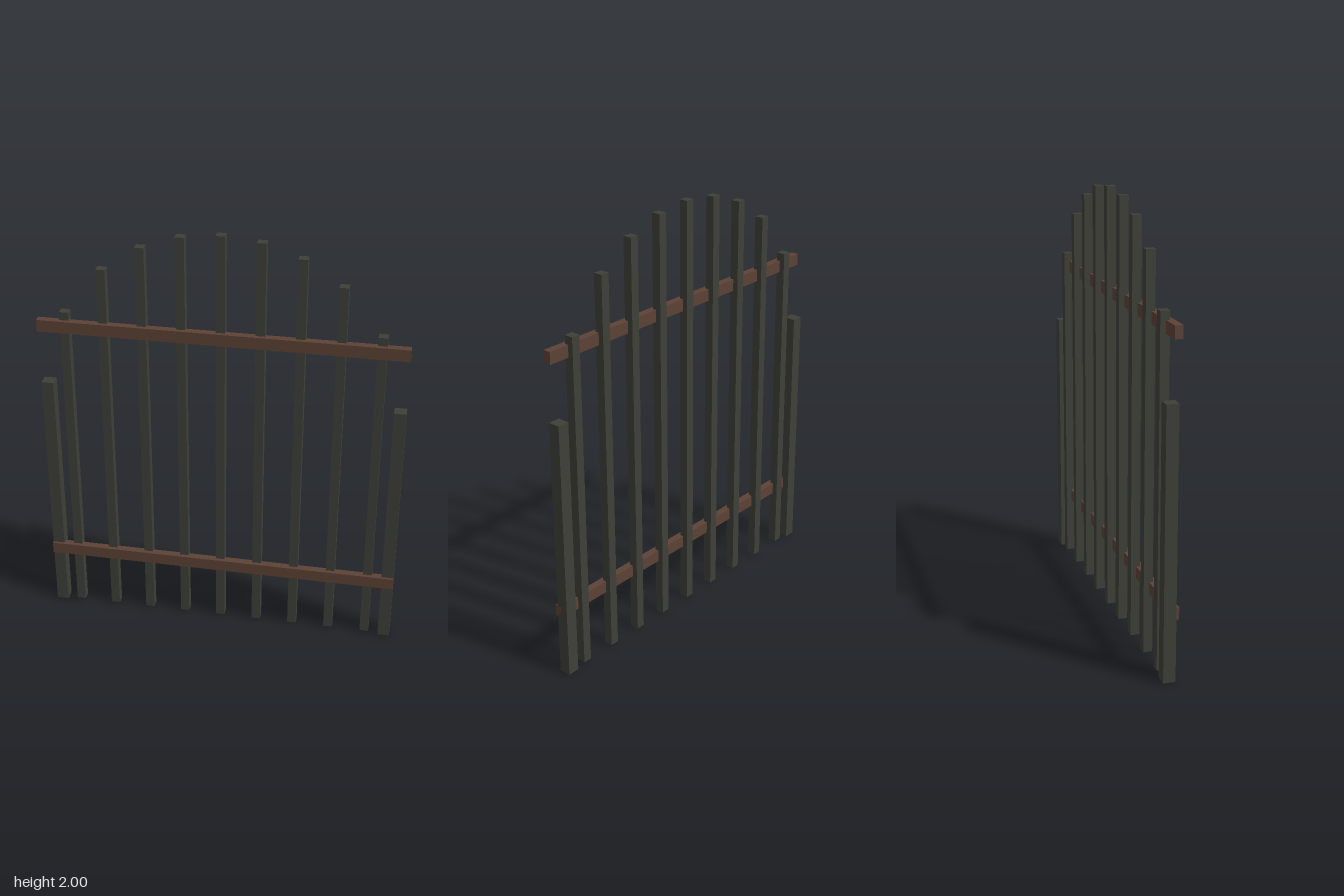
import * as THREE from 'three';

export function createModel() {
  const model = new THREE.Group();
  model.name = 'fencePanel';

  const iron = new THREE.MeshStandardMaterial({ color: 0x3e4038 });
  iron.name = 'dark iron';
  const wood = new THREE.MeshStandardMaterial({ color: 0x5c4236 });
  wood.name = 'brown wood';

  // Box given by its centre x and z, its bottom and top, and its width and depth
  function bar(name, material, x, z, bottom, top, width, depth) {
    const mesh = new THREE.Mesh(new THREE.BoxGeometry(width, top - bottom, depth), material);
    mesh.position.set(x, (bottom + top) / 2, z);
    mesh.name = name;
    model.add(mesh);
  }

  const barZ = -0.006;

  // Pickets rising in an arch toward the middle
  const spacing = 0.1785;
  const tops = [2, 1.981, 1.921, 1.806, 1.588];
  for (let i = -4; i <= 4; i++) {
    bar('picket' + (i + 5), iron, i * spacing, barZ, 0.008, tops[Math.abs(i)], 0.042, 0.042);
  }

  // Thicker, shorter end posts
  bar('leftPost', iron, 0.81, barZ, 0, 1.229, 0.056, 0.056);
  bar('rightPost', iron, -0.81, barZ, 0, 1.229, 0.056, 0.056);

  // Cross rails let into the front of the pickets
  bar('lowerRail', wood, 0, 0.016, 0.286, 0.342, 1.676, 0.036);
  bar('upperRail', wood, 0, 0.016, 1.493, 1.549, 1.676, 0.036);

  return model;
}
